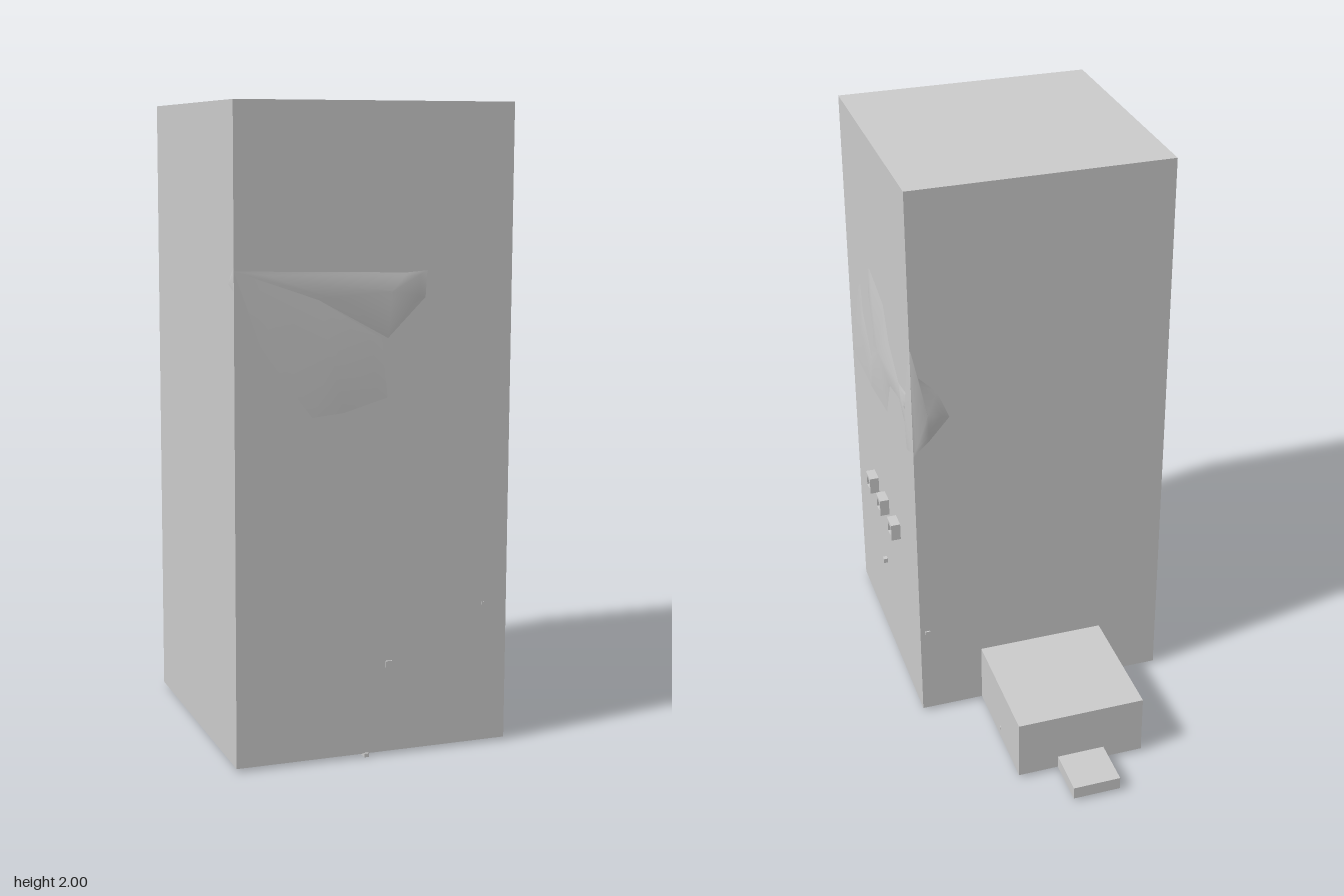
import * as THREE from 'three';

const X0 = -0.46, X1 = 0.425, ZB = -0.145, ZF = 0.743;
const material = new THREE.MeshStandardMaterial({ color: 0xcccccc });
const patchMaterial = new THREE.MeshStandardMaterial({ color: 0xcccccc, side: THREE.DoubleSide });

function add(group, name, geometry, mat = material) {
  const mesh = new THREE.Mesh(geometry, mat);
  mesh.name = name;
  group.add(mesh);
  return mesh;
}

// Box given by its lower and upper limits
function block(group, name, [x0, x1], [y0, y1], [z0, z1]) {
  const mesh = add(group, name, new THREE.BoxGeometry(x1 - x0, y1 - y0, z1 - z0));
  mesh.position.set((x0 + x1) / 2, (y0 + y1) / 2, (z0 + z1) / 2);
}

// Shallow domed sheet: rings of the outline shrink toward a raised centre
function patch(outline, center, bulge, rings = 5) {
  const n = outline.length, pos = [], index = [];
  for (let r = 0; r <= rings; r++) {
    const k = 1 - r / rings;
    for (const [x, y] of outline) {
      pos.push(center[0] + (x - center[0]) * k, center[1] + (y - center[1]) * k, 0.001 + bulge * (1 - k * k));
    }
  }
  for (let r = 0; r < rings; r++) {
    for (let i = 0; i < n; i++) {
      const a = r * n + i, b = r * n + (i + 1) % n;
      index.push(a, b, b + n);
      if (r < rings - 1) index.push(a, b + n, a + n);
    }
  }
  const g = new THREE.BufferGeometry();
  g.setAttribute('position', new THREE.Float32BufferAttribute(pos, 3));
  g.setIndex(index);
  g.computeVertexNormals();
  return g;
}

// Square window surround with an opening
function windowFrame(size, opening, depth) {
  const square = (T, s) => new T([[-s, -s], [s, -s], [s, s], [-s, s]].map(([x, y]) => new THREE.Vector2(x, y)));
  const shape = square(THREE.Shape, size / 2);
  shape.holes.push(square(THREE.Path, opening / 2));
  return new THREE.ExtrudeGeometry(shape, { depth, bevelEnabled: false });
}

export function createModel() {
  const model = new THREE.Group();
  model.name = 'tower';

  // Main masses
  block(model, 'towerBody', [X0, X1], [0.01, 2], [ZB, ZF]);
  block(model, 'rearAnnex', [-0.24, 0.205], [0.01, 0.225], [-0.585, ZB]);
  block(model, 'rearStep', [-0.1, 0.065], [0.01, 0.055], [-0.75, -0.585]);
  block(model, 'doorSill', [-0.05, -0.035], [0, 0.012], [0.7, 0.75]);

  // Window surrounds on the left wall
  for (const z of [0.125, 0.29, 0.445]) {
    const frame = add(model, 'windowFrame', windowFrame(0.062, 0.036, 0.033));
    frame.rotation.y = Math.PI / 2;
    frame.position.set(X1, 0.62, z);
  }

  // Small knobs on the walls
  block(model, 'sideKnob', [X1, 0.44], [0.333, 0.35], [0.325, 0.343]);
  block(model, 'frontKnob', [0.02, 0.04], [0.28, 0.3], [ZF, 0.749]);
  block(model, 'smallFrontKnob', [0.34, 0.35], [0.45, 0.46], [ZF, 0.746]);
  block(model, 'rearKnob', [0.39, 0.408], [0.333, 0.35], [-0.15, ZB]);
  for (const x of [-0.24, 0.205]) {
    block(model, 'annexKnob', [x - 0.002, x + 0.002], [0.045, 0.055], [-0.38, -0.37]);
  }

  // Front wall patches
  const front = new THREE.Group();
  front.name = 'frontPatches';
  front.position.z = ZF;
  add(front, 'upperFrontPatch', patch([[-0.46, 1.51], [-0.2, 1.42], [0.02, 1.3], [0.14, 1.42], [0.145, 1.5], [0.08, 1.495]],
    [0.03, 1.44], 0.007), patchMaterial);
  add(front, 'lowerFrontPatch', patch([[-0.46, 1.51], [-0.38, 1.29], [-0.29, 1.16], [-0.22, 1.07], [-0.12, 1.08],
    [0.02, 1.12], [0, 1.3], [-0.2, 1.42]], [-0.16, 1.25], 0.004), patchMaterial);
  model.add(front);

  // Left wall patches, local x runs toward -z
  const side = new THREE.Group();
  side.name = 'sidePatches';
  side.position.x = X1;
  side.rotation.y = Math.PI / 2;
  add(side, 'forwardSidePatch', patch([[-0.743, 1.02], [-0.45, 1.02], [-0.42, 1.15], [-0.53, 1.28], [-0.545, 1.38], [-0.58, 1.35]],
    [-0.55, 1.18], 0.004), patchMaterial);
  add(side, 'middleSidePatch', patch([[-0.45, 1.02], [-0.21, 1.045], [-0.15, 1.18], [-0.02, 1.2], [-0.02, 1.26],
    [-0.14, 1.35], [-0.2, 1.46], [-0.38, 1.51], [-0.41, 1.5], [-0.42, 1.4], [-0.37, 1.28], [-0.42, 1.15]],
    [-0.27, 1.25], 0.01), patchMaterial);
  add(side, 'rearSidePatch', patch([[-0.02, 1.2], [0.05, 1.14], [0.06, 1.05], [0.145, 1.08], [0.145, 1.47], [0.12, 1.28], [-0.02, 1.26]],
    [0.08, 1.21], 0.007), patchMaterial);
  model.add(side);

  // Back wall patch, local x runs toward -x
  const back = new THREE.Group();
  back.name = 'backPatches';
  back.position.z = ZB;
  back.rotation.y = Math.PI;
  add(back, 'backPatch', patch([[-0.425, 1.07], [-0.37, 1.12], [-0.3, 1.2], [-0.34, 1.3], [-0.4, 1.36], [-0.425, 1.47]],
    [-0.375, 1.22], 0.01), patchMaterial);
  model.add(back);

  // Tip of the front patch folded onto the right wall
  const fold = add(model, 'foldedTip', patch([[0.69, 1.47], [0.743, 1.45], [0.743, 1.52], [0.715, 1.495]],
    [0.725, 1.485], 0.002), patchMaterial);
  fold.position.x = X0;
  fold.rotation.y = -Math.PI / 2;

  return model;
}
